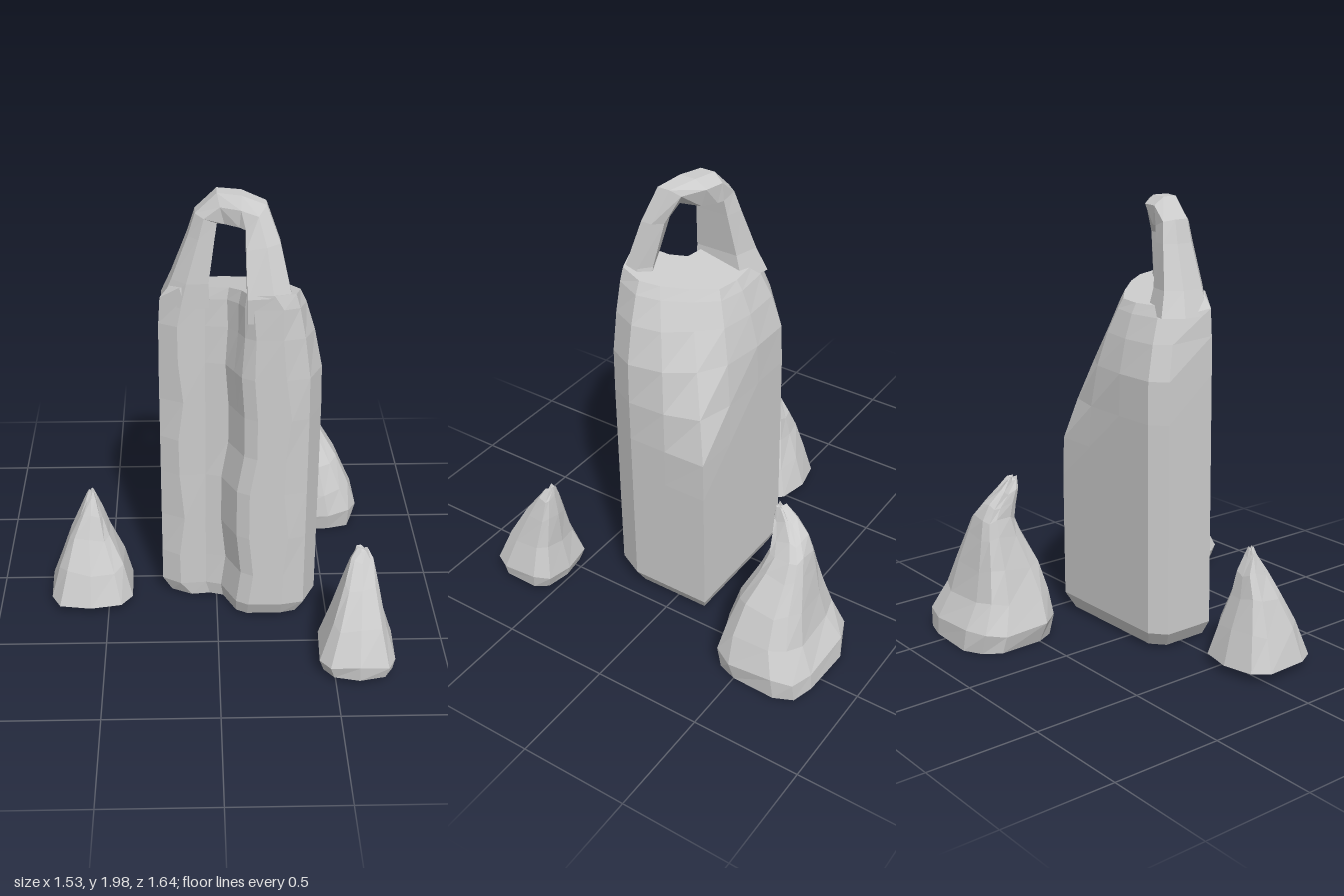
import * as THREE from 'three';

const stone = new THREE.MeshStandardMaterial({ color: 0xcccccc, flatShading: true, side: THREE.DoubleSide });

// Skin a stack of equal-sized rings ([x, y, z] points); the top is closed, the base stays open.
function loft(name, rings) {
  const n = rings[0].length;
  const pos = rings.flat(2);
  const index = [];
  for (let r = 0; r < rings.length - 1; r++) {
    for (let i = 0; i < n; i++) {
      const a = r * n + i, a1 = r * n + (i + 1) % n;
      index.push(a, a + n, a1, a + n, a1 + n, a1);
    }
  }
  const last = rings.length - 1;
  for (let k = 0; k < 3; k++) pos.push(rings[last].reduce((s, p) => s + p[k], 0) / n);
  for (let i = 0; i < n; i++) index.push(rings.length * n, last * n + (i + 1) % n, last * n + i);
  const geo = new THREE.BufferGeometry();
  geo.setAttribute('position', new THREE.Float32BufferAttribute(pos, 3));
  geo.setIndex(index);
  geo.computeVertexNormals();
  const mesh = new THREE.Mesh(geo, stone);
  mesh.name = name;
  return mesh;
}

// L-shaped pillar: each footprint point [x, z] drifts to its place on the top ledge [x, z].
// The last value picks the blend: 0 general, 1 worn back corner, 2 upright front-left, 3 beside the corner.
function pillar() {
  const outline = [
    [-0.25, -0.12, -0.19, -0.02, 0], [-0.18, -0.18, -0.12, -0.06, 0],
    [0.02, -0.18, 0.03, -0.075, 0], [0.24, -0.18, 0.14, -0.06, 3],
    [0.45, -0.18, 0.23, 0.02, 1], [0.45, 0.02, 0.31, 0.12, 3],
    [0.45, 0.2, 0.345, 0.2, 0], [0.39, 0.32, 0.32, 0.3, 0],
    [0.3, 0.34, 0.24, 0.335, 0], [0.14, 0.34, 0.15, 0.33, 0],
    [0.085, 0.31, 0.12, 0.29, 0], [0.055, 0.25, 0.1, 0.22, 0],
    [0.02, 0.18, 0.05, 0.16, 0], [-0.05, 0.16, -0.05, 0.15, 2],
    [-0.16, 0.17, -0.15, 0.16, 2], [-0.25, 0.12, -0.2, 0.12, 2],
  ];
  // height, four blends to the ledge, shift of the front cleft, scale
  const levels = [
    [0.02, [0, 0, 0, 0], 0, 0.88], [0.09, [0, 0, 0, 0], 0, 1], [0.25, [0, 0, 0, 0], 0.02, 1],
    [0.45, [0, 0, 0, 0], 0, 1], [0.68, [0, 0, 0, 0], 0, 1], [0.86, [0, 0.02, 0, 0], 0.03, 1],
    [1.05, [0, 0.25, 0, 0.06], 0.03, 1], [1.24, [0.04, 0.52, 0, 0.25], 0.015, 1],
    [1.4, [0.38, 0.76, 0.05, 0.55], 0.015, 1], [1.51, [0.75, 0.92, 0.2, 0.85], 0, 1],
    [1.555, [1, 1, 1, 1], 0, 1],
  ];
  return loft('pillar', levels.map(([y, blend, cleft, s], l) =>
    outline.map(([x0, z0, x1, z1, kind], i) => {
      const k = blend[kind];
      const dx = i >= 9 && i <= 12 ? cleft : 0;
      const wob = i === 8 || i === 14 ? 0.015 * Math.sin(l * 2.1 + i) : 0;
      const x = x0 + (x1 - x0) * k + dx + wob, z = z0 + (z1 - z0) * k;
      return [0.1 + (x - 0.1) * s, y + blend[0] * 0.22 * z, 0.08 + (z - 0.08) * s];
    })));
}

// Arch: each section is [outer x, outer y, inner x, inner y, back z, front z, inner back z].
function arch() {
  const sections = [
    [-0.235, 1.5, -0.03, 1.5, -0.1, 0.17, -0.06], [-0.19, 1.61, -0.035, 1.61, -0.06, 0.17, -0.03],
    [-0.12, 1.8, -0.01, 1.8, -0.02, 0.155, 0], [-0.09, 1.9, 0, 1.87, 0, 0.15, 0.01],
    [0.0, 1.99, 0.03, 1.87, 0.01, 0.16, 0.02], [0.1, 1.99, 0.09, 1.87, 0.03, 0.2, 0.06],
    [0.2, 1.965, 0.115, 1.87, 0.1, 0.23, 0.15], [0.255, 1.82, 0.115, 1.8, 0.16, 0.275, 0.2],
    [0.3, 1.62, 0.12, 1.61, 0.2, 0.335, 0.26], [0.33, 1.5, 0.12, 1.5, 0.2, 0.33, 0.26],
  ];
  return loft('arch', sections.map(([xo, yo, xi, yi, zb, zf, zi]) => {
    // share from outer to inner, and depth
    const profile = [[0, zb * 0.7 + zf * 0.3], [0.3, zb], [1, zi], [1, zf], [0.4, zf], [0, zb * 0.25 + zf * 0.75]];
    return profile.map(([u, z]) => [xo + (xi - xo) * u, yo + (yi - yo) * u, z]);
  }));
}

// Leaning spire: levels are [y, min x, max x, min z, max z].
function spire(name, sides, seed, levels) {
  return loft(name, levels.map(([y, xa, xb, za, zb], l) =>
    Array.from({ length: sides }, (_, i) => {
      const a = (i + 0.5) / sides * Math.PI * 2;
      const soft = (v) => Math.sign(v) * Math.abs(v) ** 0.58;
      const r = 1.01 + 0.025 * Math.sin(seed + i * 2.7 + l * 1.3);
      const lift = l > 0 ? 0.012 * Math.sin(seed + i * 1.9 + l) : 0;
      return [
        (xa + xb) / 2 + (xb - xa) / 2 * soft(Math.cos(a)) * r,
        y + lift,
        (za + zb) / 2 + (zb - za) / 2 * soft(Math.sin(a)) * r,
      ];
    })));
}

export function createModel() {
  const group = new THREE.Group();
  group.name = 'rockFormation';
  group.add(
    pillar(),
    arch(),
    spire('rightSpire', 10, 1, [
      [0.05, -0.77, -0.39, -0.08, 0.3], [0.2, -0.725, -0.43, -0.04, 0.25],
      [0.34, -0.675, -0.49, 0, 0.18], [0.44, -0.625, -0.52, 0.02, 0.14],
      [0.51, -0.595, -0.545, 0.05, 0.1], [0.545, -0.58, -0.56, 0.06, 0.08],
    ]),
    spire('frontSpire', 10, 3, [
      [0.04, 0.45, 0.75, 0.5, 0.81], [0.1, 0.43, 0.765, 0.48, 0.82],
      [0.25, 0.485, 0.72, 0.51, 0.75], [0.4, 0.535, 0.685, 0.515, 0.66],
      [0.5, 0.565, 0.66, 0.525, 0.59], [0.54, 0.585, 0.635, 0.53, 0.56],
    ]),
    spire('backSpire', 12, 5, [
      [0.01, 0.2, 0.71, -0.82, -0.38], [0.1, 0.175, 0.72, -0.815, -0.36],
      [0.22, 0.215, 0.67, -0.75, -0.38], [0.36, 0.26, 0.61, -0.72, -0.42],
      [0.5, 0.3, 0.53, -0.695, -0.49], [0.58, 0.32, 0.49, -0.68, -0.52],
      [0.64, 0.325, 0.45, -0.65, -0.51], [0.7, 0.33, 0.41, -0.59, -0.5],
      [0.75, 0.35, 0.39, -0.54, -0.5],
    ]),
  );
  return group;
}
